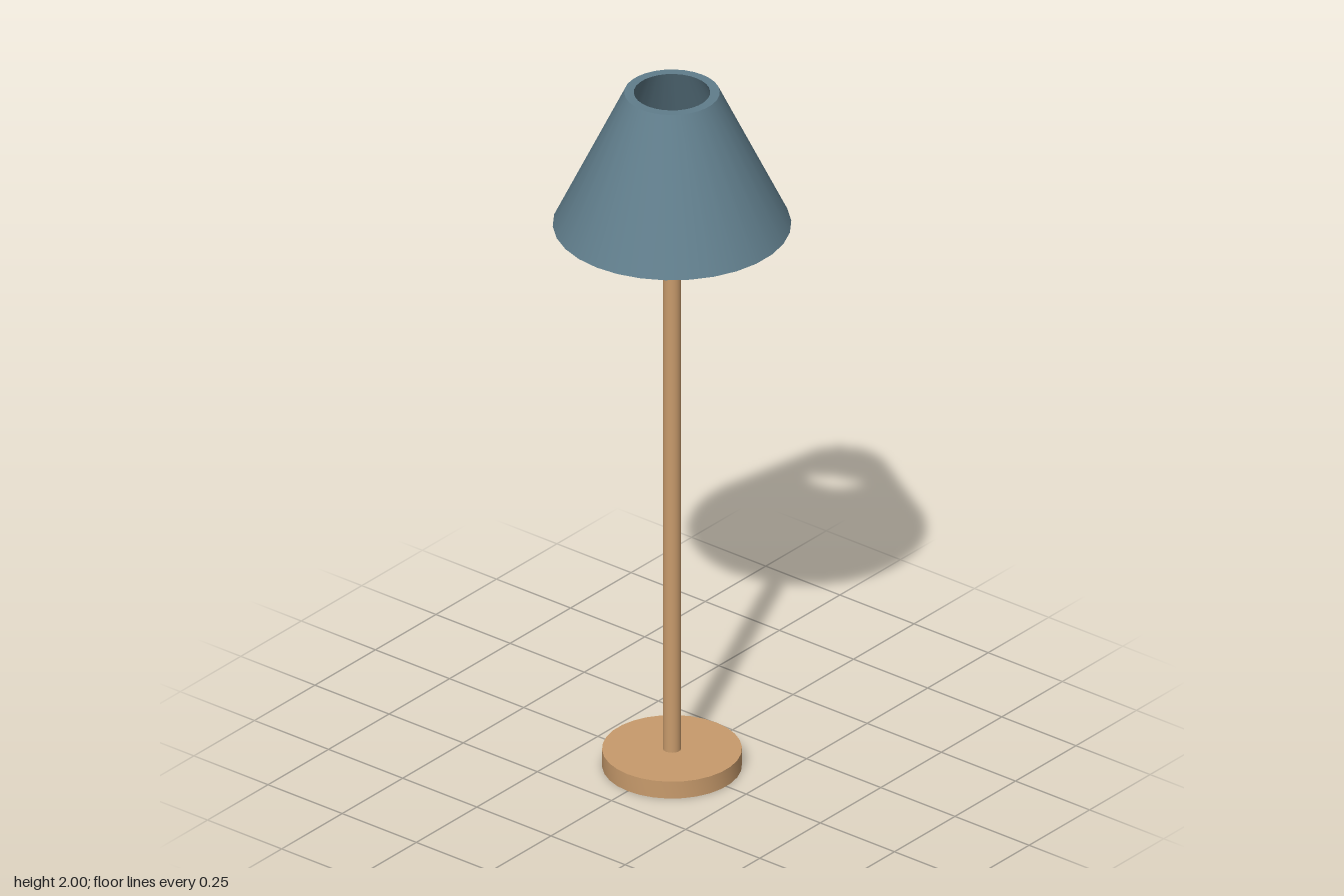
import * as THREE from 'three';
import { toCreasedNormals } from 'three/addons/utils/BufferGeometryUtils.js';

const SIDES = 30;
const wood = new THREE.MeshStandardMaterial({ color: 0xc89b6c });
const fabric = new THREE.MeshStandardMaterial({ color: 0x607d8b });
const glow = new THREE.MeshStandardMaterial({ color: 0xe6d690 });

// Turned part from [radius, height] pairs, with a corner on the x axis
function turned(points) {
  const g = new THREE.LatheGeometry(points.map(([r, y]) => new THREE.Vector2(r, y)), SIDES);
  return g.rotateY(Math.PI / 2);
}

function add(group, name, geometry, material) {
  const mesh = new THREE.Mesh(geometry, material);
  mesh.name = name;
  group.add(mesh);
  return mesh;
}

export function createModel() {
  const lamp = new THREE.Group();
  lamp.name = 'floorLamp';

  // Round foot, its lower edge relieved at the back for the cord
  const foot = turned([[0, 0], [0.14, 0], [0.183, 0], [0.183, 0.05], [0, 0.05]]);
  const p = foot.attributes.position;
  for (let i = 0; i < p.count; i++) {
    const x = p.getX(i), z = p.getZ(i);
    const angle = Math.atan2(x, -z);
    if (Math.hypot(x, z) > 0.17 && p.getY(i) < 0.01 && angle > -0.3 && angle < 0.8) p.setY(i, 0.014);
  }
  add(lamp, 'base', toCreasedNormals(foot, 0.5), wood);

  // Slim pole
  const pole = new THREE.CylinderGeometry(0.024, 0.024, 1.66, SIDES);
  add(lamp, 'pole', pole, wood).position.y = 0.04 + 0.83;

  // Bulb on top of the pole
  const bulb = new THREE.SphereGeometry(0.04, 24, 16);
  add(lamp, 'bulb', bulb, glow).position.y = 1.73;

  // Thick conical shade, open at both ends
  const shade = turned([[0.287, 1.61], [0.312, 1.61], [0.125, 2], [0.1, 2], [0.287, 1.61]]);
  add(lamp, 'shade', toCreasedNormals(shade, 0.6), fabric);

  return lamp;
}
